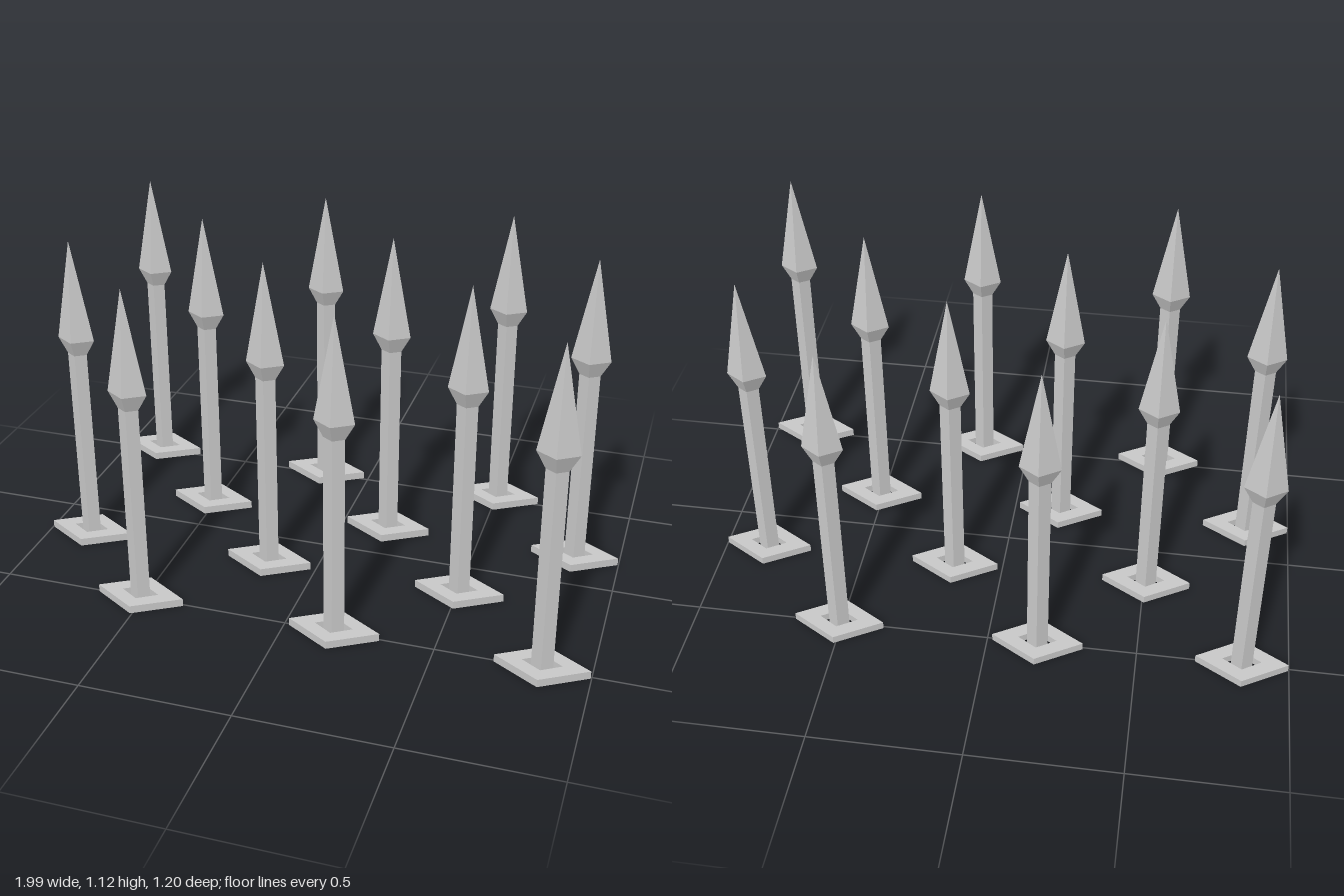
import * as THREE from 'three';

const material = new THREE.MeshStandardMaterial({ color: 0xcccccc, flatShading: true });

// Diamond outline with corners on the axes
function diamond(target, rx, rz) {
  target.moveTo(rx, 0);
  target.lineTo(0, rz);
  target.lineTo(-rx, 0);
  target.lineTo(0, -rz);
  target.closePath();
  return target;
}

// Four-sided turned form, flattened front to back
function turned(profile) {
  const points = profile.map(([r, y]) => new THREE.Vector2(r, y));
  return new THREE.LatheGeometry(points, 4).scale(1, 1, 0.65);
}

export function createModel() {
  const model = new THREE.Group();
  model.name = 'spikeField';

  // Flat diamond foot with an opening for the shaft
  const outline = diamond(new THREE.Shape(), 0.152, 0.091);
  outline.holes.push(diamond(new THREE.Path(), 0.064, 0.04));
  const baseGeo = new THREE.ExtrudeGeometry(outline, { depth: 0.027, bevelEnabled: false });
  baseGeo.rotateX(-Math.PI / 2);

  const shaftGeo = turned([[0, 0], [0.035, 0], [0.035, 0.71]]);
  const headGeo = turned([[0.035, 0.71], [0.066, 0.765], [0, 1.115]]);
  const parts = { base: baseGeo, shaft: shaftGeo, spearHead: headGeo };

  // Staggered rows: every second row shifts by half a step
  const step = 0.338;
  for (let row = 0; row < 4; row++) {
    for (let col = 0; col < 3; col++) {
      const spike = new THREE.Group();
      spike.name = `spike_${row + 1}_${col + 1}`;
      for (const [name, geometry] of Object.entries(parts)) {
        const mesh = new THREE.Mesh(geometry, material);
        mesh.name = name;
        spike.add(mesh);
      }
      spike.position.set((col * 2 + (row % 2) - 2.5) * step + 0.0, 0, (row - 1.5) * step);
      model.add(spike);
    }
  }
  return model;
}
